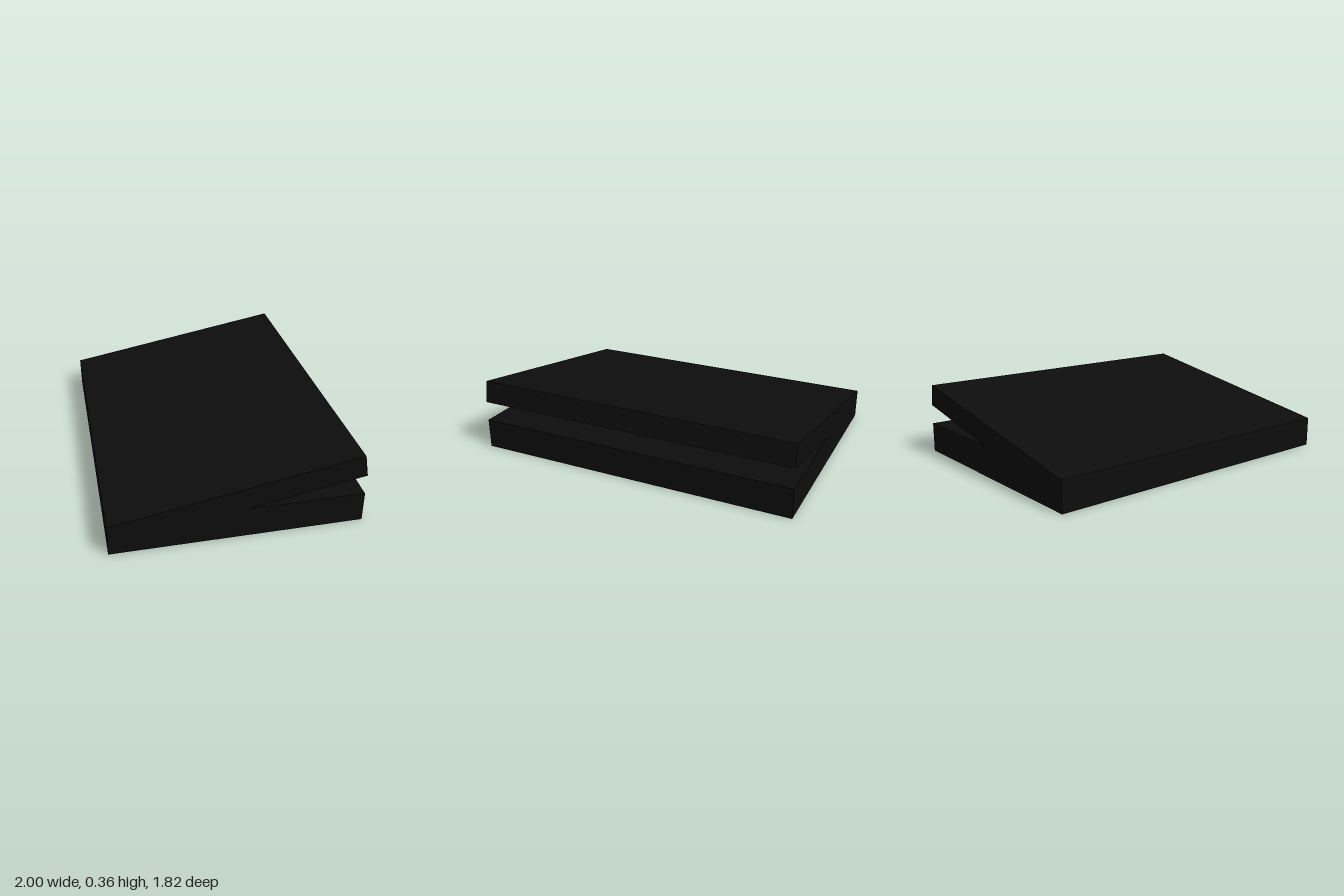
import * as THREE from 'three';

const WIDTH = 1.63, DEPTH = 1.19;
const BASE_HEIGHT = 0.15, LID_HEIGHT = 0.11;
const TURN = THREE.MathUtils.degToRad(28.3);
const OPENING = THREE.MathUtils.degToRad(10.1);

export function createModel() {
  const black = new THREE.MeshStandardMaterial({ color: 0x0d0d0d });
  black.name = 'black';

  const model = new THREE.Group();
  model.name = 'hingedCase';

  // Solid lower slab
  const base = new THREE.Mesh(new THREE.BoxGeometry(WIDTH, BASE_HEIGHT, DEPTH), black);
  base.name = 'base';
  base.position.y = BASE_HEIGHT / 2;

  // Lid swings about the base's top front edge and opens at the back
  const hinge = new THREE.Group();
  hinge.name = 'lidHinge';
  hinge.position.set(0, BASE_HEIGHT, DEPTH / 2);
  hinge.rotation.x = OPENING;
  const lid = new THREE.Mesh(new THREE.BoxGeometry(WIDTH, LID_HEIGHT, DEPTH), black);
  lid.name = 'lid';
  lid.position.set(0, -LID_HEIGHT / 2, -DEPTH / 2);
  hinge.add(lid);

  // The whole case sits turned on the ground
  const body = new THREE.Group();
  body.name = 'caseBody';
  body.rotation.y = -TURN;
  body.add(base, hinge);
  model.add(body);
  return model;
}
